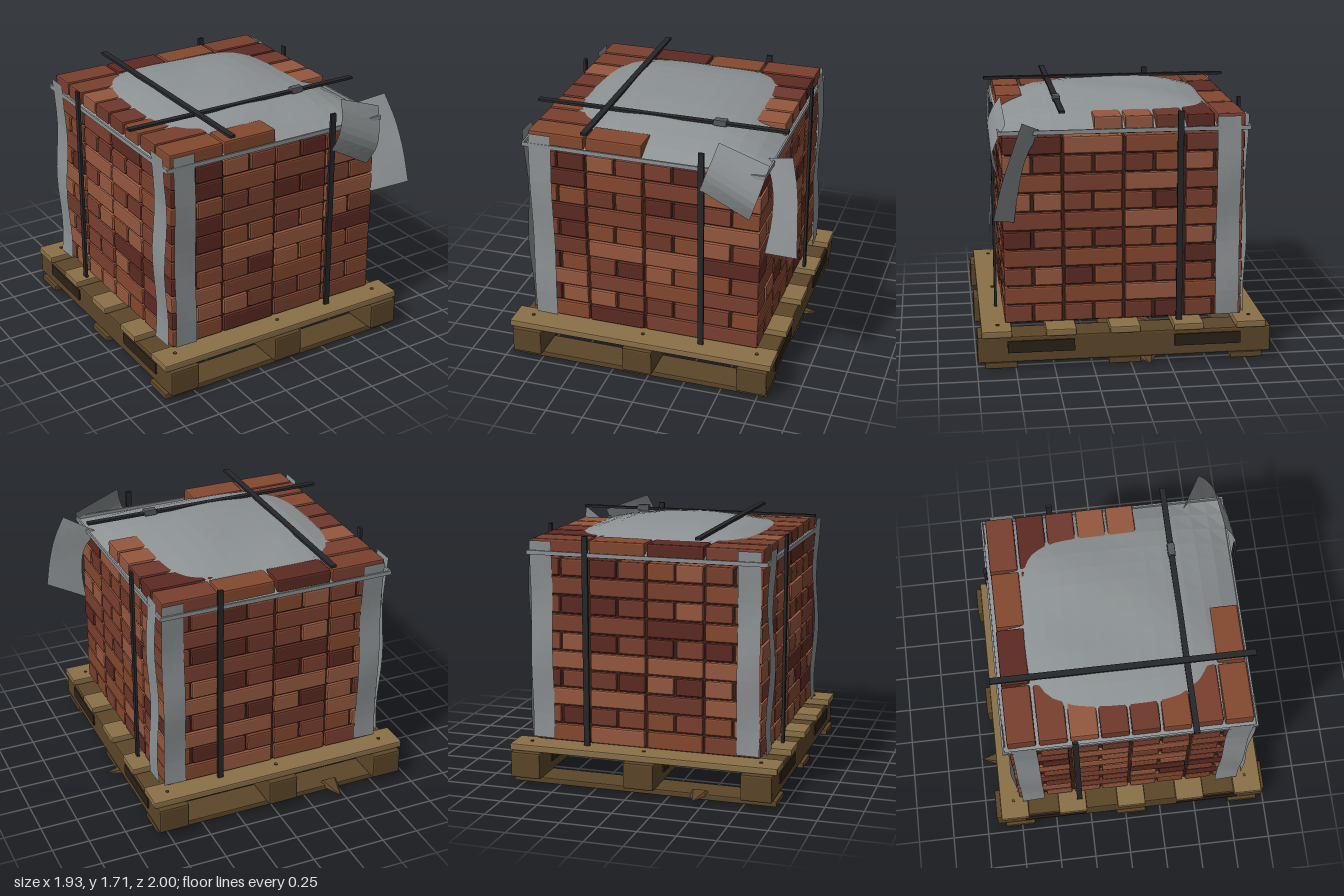
import * as THREE from 'three';
import { RoundedBoxGeometry } from 'three/addons/geometries/RoundedBoxGeometry.js';
import { ParametricGeometry } from 'three/addons/geometries/ParametricGeometry.js';

const mat = (color, side = THREE.FrontSide) =>
  new THREE.MeshStandardMaterial({ color, side, flatShading: true });
const deckWood = mat(0x8a7048), darkWood = mat(0x5c4629), slotDark = mat(0x2b2118);
const strapMat = mat(0x26272a), buckleMat = mat(0x55585c), coreMat = mat(0x3d2018);
const sheetMat = mat(0x8d9294, THREE.DoubleSide);
const brickMats = [0x7a4030, 0x6e382b, 0x5c2a22, 0x7a4030, 0x95583f, 0x84482f].map((c) => mat(c));

let seed = 7;
const rand = () => (seed = (seed * 16807) % 2147483647) / 2147483647;

function add(parent, name, geometry, material, x = 0, y = 0, z = 0) {
  const mesh = new THREE.Mesh(geometry, material);
  mesh.name = name;
  mesh.position.set(x, y, z);
  parent.add(mesh);
  return mesh;
}

// Box given by its limits on each axis, optionally with chamfered edges
function block(parent, name, material, [x0, x1], [y0, y1], [z0, z1], bevel = 0) {
  const w = x1 - x0, h = y1 - y0, d = z1 - z0;
  const geo = bevel ? new RoundedBoxGeometry(w, h, d, 1, bevel) : new THREE.BoxGeometry(w, h, d);
  return add(parent, name, geo, material, (x0 + x1) / 2, (y0 + y1) / 2, (z0 + z1) / 2);
}

function group(parent, name) {
  const g = new THREE.Group();
  g.name = name;
  parent.add(g);
  return g;
}

// Sheet stretched between two edge curves
function ribbon(parent, name, edgeA, edgeB, nu = 4, nv = 8) {
  const a = new THREE.CatmullRomCurve3(edgeA.map((p) => new THREE.Vector3(...p)));
  const b = new THREE.CatmullRomCurve3(edgeB.map((p) => new THREE.Vector3(...p)));
  const geo = new ParametricGeometry(
    (u, v, target) => target.lerpVectors(a.getPoint(v), b.getPoint(v), u), nu, nv);
  return add(parent, name, geo, sheetMat);
}

function buildPallet(root) {
  const pallet = group(root, 'pallet');
  for (const z of [0.87, 0.455, 0.04, -0.375, -0.785]) {
    block(pallet, 'deckBoard', deckWood, [-0.97, 0.84], [0.226, 0.272], [z - 0.098, z + 0.098], 0.008);
  }
  for (const z of [0.845, 0.04, -0.76]) {
    block(pallet, 'bottomBoard', darkWood, [-0.965, 0.82], [0.012, 0.052], [z - 0.105, z + 0.105], 0.008);
  }
  for (const x of [-0.842, -0.062, 0.718]) {
    block(pallet, 'stringer', darkWood, [x - 0.103, x + 0.103], [0.052, 0.228], [-0.92, 0.995], 0.012);
    for (const z of [0.585, -0.5]) {
      block(pallet, 'stringerSlot', slotDark, [x - 0.113, x + 0.113], [0.12, 0.198], [z - 0.217, z + 0.217]);
    }
    for (const z of [0.86, -0.79]) {
      add(pallet, 'nail', new THREE.CylinderGeometry(0.012, 0.012, 0.008, 8), darkWood, x, 0.274, z);
    }
  }
  // Broken wood splinters: [x, y, z, length, turn]
  for (const [x, y, z, len, turn] of [
    [-0.45, 0.045, -0.91, 0.18, Math.PI], [0.82, 0.035, -0.11, 0.18, Math.PI / 2],
    [0.35, 0.04, 0.42, 0.24, 0.9], [0.08, 0.03, -0.2, 0.22, 2.2], [-0.5, 0.04, 0.42, 0.24, -1.1]]) {
    const geo = new THREE.ConeGeometry(0.075, len, 5);
    geo.rotateX(Math.PI / 2);
    geo.scale(1, 0.32, 1);
    const shard = add(pallet, 'splinter', geo, darkWood, x, y, z);
    shard.rotation.y = turn;
  }
}

const X0 = -0.838, X1 = 0.715, Z0 = -0.75, Z1 = 0.82, Y0 = 0.275, PITCH = 0.1235;

function buildBricks(root) {
  const stack = group(root, 'brickStack');
  block(stack, 'stackCore', coreMat, [X0 + 0.03, X1 - 0.03], [Y0, 1.49], [Z0 + 0.03, Z1 - 0.03]);
  for (let row = 0; row < 11; row++) {
    // Courses alternate between bricks laid along x and along z
    const nx = row % 2 ? 8 : 4, nz = row % 2 ? 4 : 8;
    const dx = (X1 - X0) / nx, dz = (Z1 - Z0) / nz, top = row === 10;
    const geo = new RoundedBoxGeometry(dx - 0.014, PITCH - 0.01, dz - 0.016, 1, 0.011);
    for (let i = 0; i < nx; i++) {
      for (let j = 0; j < nz; j++) {
        const rim = i === 0 || j === 0 || i === nx - 1 || j === nz - 1;
        if (!rim && !(top && j === 1)) continue;
        // Bricks missing from the torn corner
        if (top && ((i === 3 && j >= 5) || (i === 2 && j >= 6))) continue;
        const material = brickMats[Math.floor(rand() * brickMats.length)];
        const brick = add(stack, 'brick', geo, material, X0 + (i + 0.5) * dx + (rand() - 0.5) * 0.006,
          Y0 + (row + 0.5) * PITCH, Z0 + (j + 0.5) * dz + (rand() - 0.5) * 0.006);
        brick.rotation.y = (rand() - 0.5) * 0.012;
      }
    }
  }
}

function buildWrap(root) {
  const wrap = group(root, 'wrapping');
  // Domed cover sheet; the rim bricks poke through its low border
  const cover = new ParametricGeometry((u, v, target) => {
    const a = 2 * u - 1, b = 2 * v - 1;
    const dome = (1 - Math.abs(a) ** 3) * (1 - Math.abs(b) ** 3);
    const crease = 0.006 * Math.sin(a * 7 + b * 4) * dome;
    target.set(-0.065 + 0.795 * a, 1.53 + 0.165 * dome + crease, 0.03 + 0.8 * b);
  }, 14, 14);
  add(wrap, 'coverSheet', cover, sheetMat);
  for (const z of [-0.772, 0.83]) {
    block(wrap, 'coverHem', sheetMat, [-0.865, 0.735], [1.525, 1.552], [z - 0.006, z + 0.006]);
  }
  for (const x of [-0.86, 0.73]) {
    block(wrap, 'coverHem', sheetMat, [x - 0.006, x + 0.006], [1.525, 1.552], [-0.772, 0.83]);
  }

  // Corner strips, slightly wavy, on three corners; [face axis, face position, wave, edge range]
  for (const [axis, pos, wave, e0, e1] of [
    ['z', 0.838, 0.008, -0.82, -0.67], ['x', -0.862, 0.012, 0.645, 0.8],
    ['x', -0.862, 0.012, -0.72, -0.565], ['z', -0.757, 0.009, -0.82, -0.67],
    ['z', -0.757, 0.009, 0.57, 0.72], ['x', 0.742, 0.01, -0.715, -0.56]]) {
    const edge = (e, phase) => Array.from({ length: 9 }, (_, k) => {
      const y = 0.295 + k * 0.165, f = pos + wave * Math.sin(k * 1.3 + phase);
      return axis === 'z' ? [e, y, f] : [f, y, e];
    });
    ribbon(wrap, 'cornerStrip', edge(e0, 0), edge(e1, 0.6), 3, 16);
  }

  // Torn flaps hanging at the open corner
  ribbon(wrap, 'frontFlap',
    [[0.43, 1.72, 0.80], [0.405, 1.63, 0.855], [0.37, 1.53, 0.885], [0.33, 1.41, 0.865]],
    [[0.75, 1.60, 0.785], [0.72, 1.48, 0.845], [0.685, 1.36, 0.875], [0.64, 1.23, 0.83]]);
  ribbon(wrap, 'sideFlap',
    [[0.67, 1.54, 0.56], [0.74, 1.38, 0.66], [0.75, 1.18, 0.71], [0.72, 0.96, 0.74]],
    [[0.87, 1.63, 0.69], [0.92, 1.45, 0.76], [0.945, 1.25, 0.83], [0.96, 1.04, 0.88]]);
}

function buildStraps(root) {
  const straps = group(root, 'straps');
  for (const z of [-0.775, 0.855]) {
    block(straps, 'verticalStrap', strapMat, [0.316, 0.354], [0.272, 1.66], [z - 0.009, z + 0.009]);
  }
  for (const x of [-0.877, 0.748]) {
    block(straps, 'verticalStrap', strapMat, [x - 0.009, x + 0.009], [0.272, 1.66], [-0.34, -0.302]);
  }
  block(straps, 'topStrapAcross', strapMat, [-0.907, 0.78], [1.667, 1.683], [0.415, 0.453]);
  block(straps, 'topStrapAlong', strapMat, [-0.446, -0.406], [1.676, 1.693], [-0.81, 0.875]);
  block(straps, 'buckle', buckleMat, [0.292, 0.378], [1.66, 1.702], [0.41, 0.458], 0.006);
}

export function createModel() {
  const root = new THREE.Group();
  root.name = 'brickPallet';
  buildPallet(root);
  buildBricks(root);
  buildWrap(root);
  buildStraps(root);
  return root;
}
